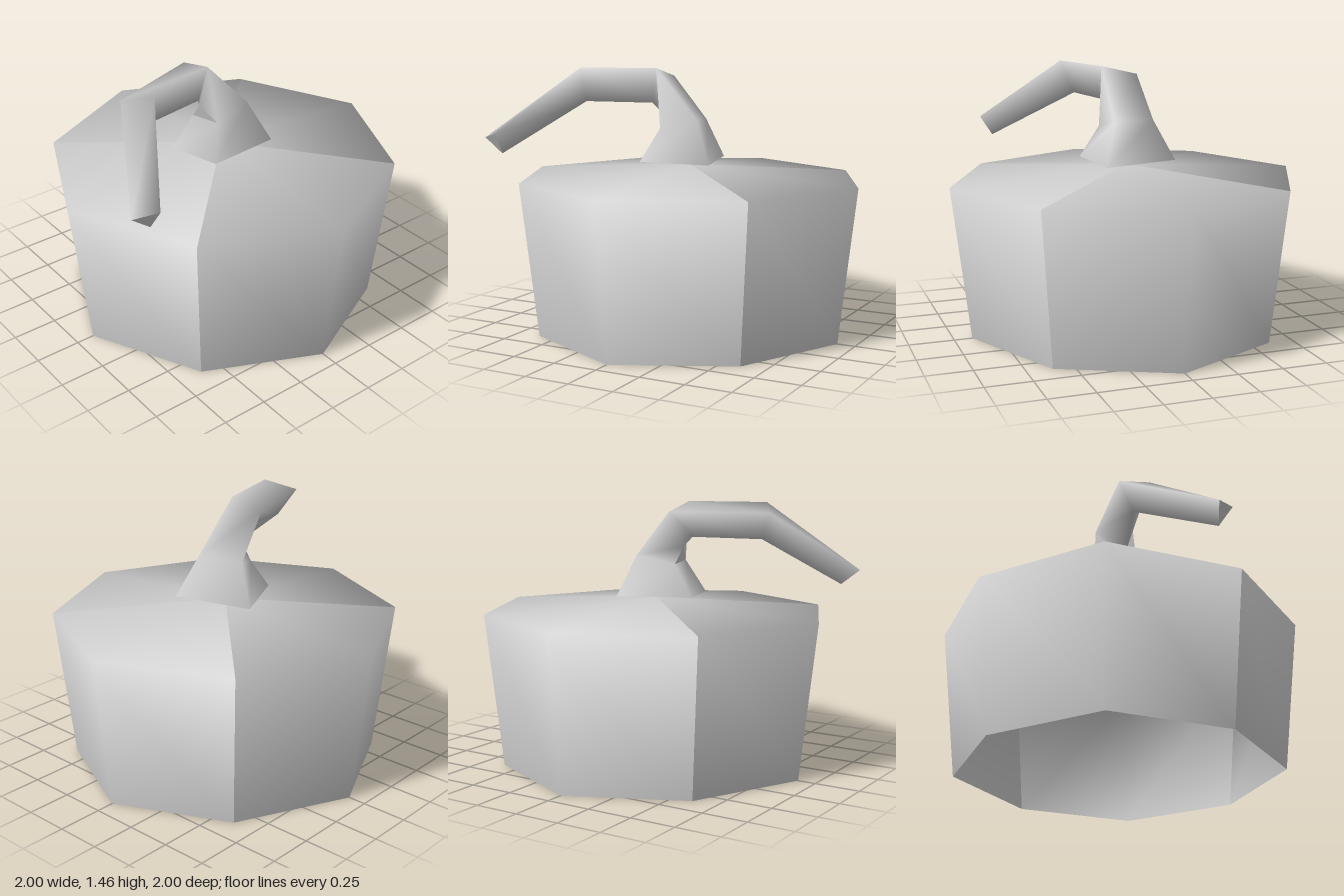
import * as THREE from 'three';

// Indexed mesh geometry with normals smoothed over shared corners
function smoothGeometry(points, triangles) {
  const g = new THREE.BufferGeometry();
  g.setAttribute('position', new THREE.Float32BufferAttribute(points.flat(), 3));
  g.setIndex(triangles.flat());
  g.computeVertexNormals();
  return g;
}

// One quarter of the hollow shell, open below: top centre, rim corners, foot corners
function lobeGeometry() {
  const points = [[0, 0.925, 0]];
  for (const [y, s] of [[0.852, 1], [0, 0.9]]) {
    points.push([-0.68 * s, y, 0.68 * s], [0, y, s], [0.68 * s, y, 0.68 * s]);
  }
  const triangles = [];
  for (let i = 1; i < 3; i++) {
    const lower = i + 3;
    triangles.push([0, i, i + 1]);
    triangles.push([i, lower, lower + 1], [i, lower + 1, i + 1]);
  }
  return smoothGeometry(points, triangles);
}

// Bent stalk: a four-cornered open foot that narrows to a three-cornered tube
function stalkGeometry() {
  const points = [
    [-0.26, 0.947, -0.09], [0.18, 0.947, -0.21], [0.21, 0.947, 0.2], [-0.08, 0.947, 0.28],
    [-0.15, 1.17, -0.03], [0.1, 1.18, -0.1], [0.12, 1.13, 0.12], [-0.05, 1.12, 0.155],
    [-0.12, 1.41, 0.16], [0.09, 1.46, 0.16], [0.02, 1.21, 0.165], [0.06, 1.265, 0.2],
    [0.05, 1.41, 0.68], [0.21, 1.46, 0.58], [0.12, 1.265, 0.6],
    [0.57, 1.08, 0.98], [0.64, 1.11, 0.86], [0.565, 0.995, 0.87],
  ];
  const rings = [
    [0, 1, 2, 3], [4, 5, 6, 7], [8, 9, 10, 10],
    [8, 9, 11, 11], [12, 13, 14, 14], [15, 16, 17, 17],
  ];
  const triangles = [];
  for (let r = 0; r < rings.length - 1; r++) {
    const a = rings[r], b = rings[r + 1];
    for (let i = 0; i < 4; i++) {
      if (r === 1 && i === 2) continue; // the notch gets its own flat face
      const j = (i + 1) % 4;
      triangles.push([a[j], a[i], b[i]], [a[j], b[i], b[j]]);
    }
  }
  // Flat faces use their own corners: notch under the bend, cut tip
  for (const ids of [[7, 6, 10], [17, 16, 15]]) {
    const start = points.length;
    ids.forEach((id) => points.push([...points[id]]));
    triangles.push([start, start + 1, start + 2]);
  }
  // Rings with doubled corners leave empty triangles, dropped here
  return smoothGeometry(points, triangles.filter((t) => new Set(t).size === 3));
}

export function createModel() {
  const grey = new THREE.MeshStandardMaterial({ color: 0xcccccc, side: THREE.DoubleSide });
  grey.name = 'plainGrey';
  const model = new THREE.Group();
  model.name = 'pumpkin';

  // Four lobes meeting at diagonal creases
  const body = new THREE.Group();
  body.name = 'body';
  const lobe = lobeGeometry();
  for (let i = 0; i < 4; i++) {
    const mesh = new THREE.Mesh(lobe, grey);
    mesh.name = 'lobe' + (i + 1);
    mesh.rotation.y = (i * Math.PI) / 2;
    body.add(mesh);
  }

  const stalk = new THREE.Mesh(stalkGeometry(), grey);
  stalk.name = 'stalk';

  model.add(body, stalk);
  return model;
}
